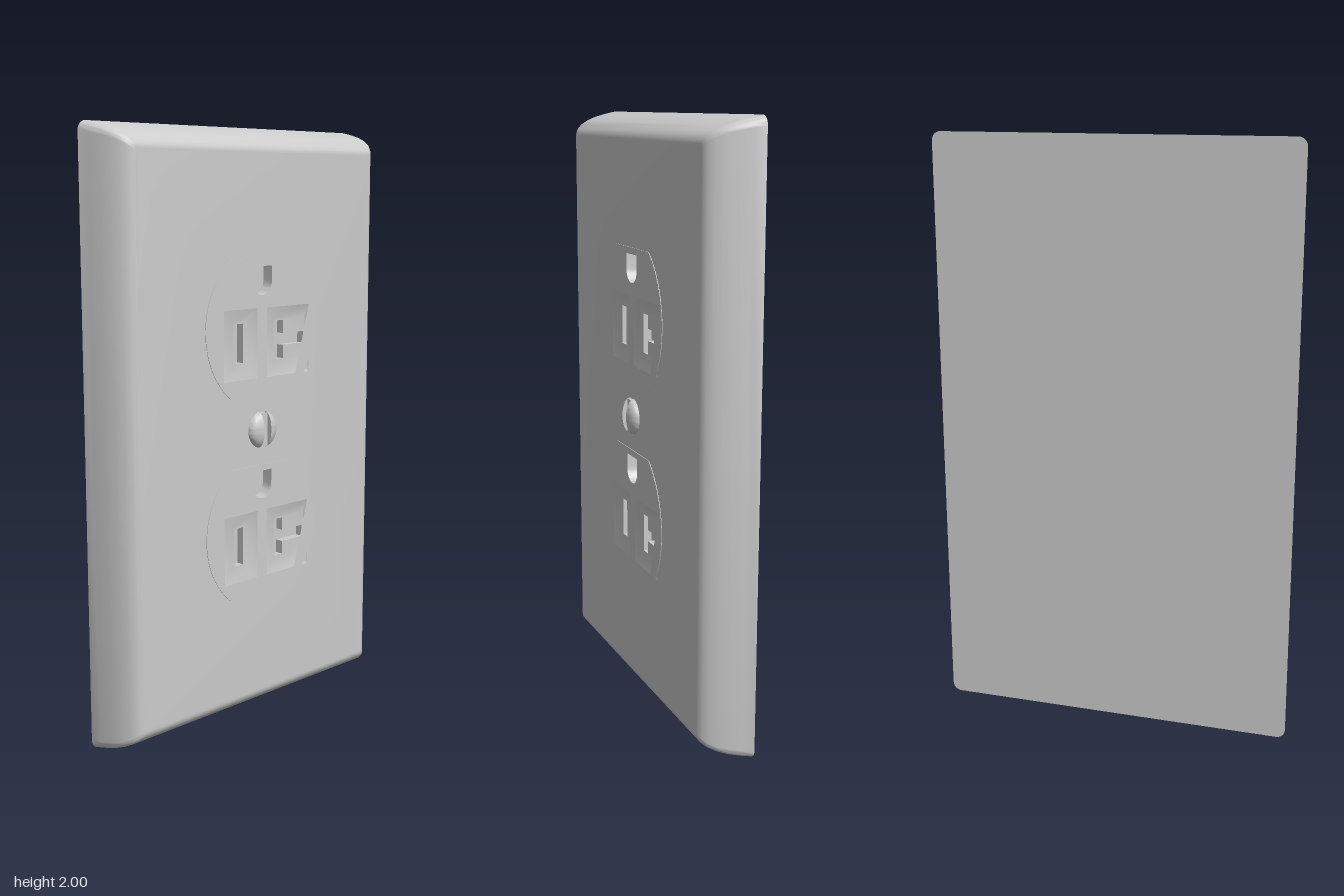
import * as THREE from 'three';
import { mergeGeometries, toCreasedNormals } from 'three/addons/utils/BufferGeometryUtils.js';

const grey = new THREE.MeshStandardMaterial({ color: 0xcccccc });
const FRONT = 0.068, FACE = 0.07;
const v = (x, y) => new THREE.Vector2(x, y);

// Counter-clockwise loops
const rect = (x0, y0, x1, y1) => [v(x0, y0), v(x1, y0), v(x1, y1), v(x0, y1)];
const arc = (cx, cy, r, a0, a1, n) => Array.from({ length: n + 1 }, (_, i) => {
  const a = a0 + (a1 - a0) * i / n;
  return v(cx + r * Math.cos(a), cy + r * Math.sin(a));
});
function roundedRect(w, h, r) {
  return [[1, 1], [-1, 1], [-1, -1], [1, -1]].flatMap(([sx, sy], i) =>
    arc(sx * (w - r), sy * (h - r), r, i * Math.PI / 2, (i + 1) * Math.PI / 2, 6));
}

// Skin through a list of [loop, z]; running forward faces out, running backward faces in
function skin(levels) {
  const pos = [];
  for (let k = 0; k + 1 < levels.length; k++) {
    const [a, za] = levels[k], [b, zb] = levels[k + 1];
    a.forEach((p, i) => {
      const j = (i + 1) % a.length;
      const A = [p.x, p.y, za], B = [a[j].x, a[j].y, za];
      const C = [b[j].x, b[j].y, zb], D = [b[i].x, b[i].y, zb];
      pos.push(...A, ...B, ...C, ...A, ...C, ...D);
    });
  }
  return new THREE.BufferGeometry().setAttribute('position', new THREE.Float32BufferAttribute(pos, 3));
}

// Flat sheet facing +z, with holes
function sheet(loop, z, holes = []) {
  const shape = new THREE.Shape(loop);
  shape.holes = holes.map(h => new THREE.Path(h));
  const g = new THREE.ShapeGeometry(shape).toNonIndexed().translate(0, 0, z);
  g.deleteAttribute('uv');
  g.deleteAttribute('normal');
  return g;
}

const pocket = (loop, top, bottom) => [skin([[loop, top], [loop, bottom]]), sheet(loop, bottom)];

function part(name, geometries) {
  const mesh = new THREE.Mesh(toCreasedNormals(mergeGeometries(geometries), 0.6), grey);
  mesh.name = name;
  return mesh;
}

// Outlet outline: two arcs cut flat at top and bottom
const half = Math.asin(0.225 / 0.285);
const outline = [
  ...arc(-0.03, 0, 0.285, -half, half, 24),
  ...arc(0.03, 0, 0.285, Math.PI - half, Math.PI + half, 24),
];

function createOutlet() {
  const outlet = new THREE.Group();
  outlet.name = 'outlet';
  const ground = [v(-0.045, 0.203), ...arc(0, 0.153, 0.045, Math.PI, 2 * Math.PI, 16), v(0.045, 0.203)];
  const straightSlot = rect(-0.115, -0.112, -0.078, 0.018);
  const teeSlot = [v(0.075, -0.112), v(0.112, -0.112), v(0.112, -0.067), v(0.212, -0.067),
    v(0.212, -0.027), v(0.112, -0.027), v(0.112, 0.018), v(0.075, 0.018)];
  const leftRim = rect(-0.175, -0.167, -0.022, 0.066);
  const rightRim = rect(0.022, -0.167, 0.226, 0.066);
  const low = FACE - 0.012;

  outlet.add(part('outletFace', [
    skin([[outline, FRONT - 0.01], [outline, FACE]]),
    sheet(outline, FACE, [ground, leftRim, rightRim]),
  ]));
  outlet.add(part('groundHole', pocket(ground, FACE, 0.03)));
  // Sloped recesses leading into the blade slots
  [['straightSlot', leftRim, rect(-0.125, -0.12, -0.068, 0.026), straightSlot],
    ['teeSlot', rightRim, rect(0.065, -0.12, 0.218, 0.026), teeSlot]].forEach(([name, rim, floor, slot]) => {
    outlet.add(part(name, [skin([[rim, FACE], [floor, low]]), sheet(floor, low, [slot]), ...pocket(slot, low, 0.03)]));
  });
  return outlet;
}

function createScrew() {
  const screw = new THREE.Group();
  screw.name = 'screw';
  const w = 0.016;
  const dome = [[0.063, 0.06], [0.063, 0.07], [0.06, 0.078], [0.053, 0.086], [0.042, 0.092], [0.03, 0.096], [0.019, 0.098]];
  const levels = dome.map(([r, z]) => {
    const a = Math.acos(w / r);
    return [arc(0, 0, r, -a, a, 24), z];
  });
  // Two dome halves with the driver slot between them
  for (const turn of [0, Math.PI]) {
    const side = part('screwHeadHalf', [skin(levels), sheet(...levels.at(-1))]);
    side.rotation.z = turn;
    screw.add(side);
  }
  const bed = arc(0, 0, 0.058, 0, 2 * Math.PI * 47 / 48, 47);
  screw.add(part('screwSlotBed', [skin([[bed, 0.06], [bed, 0.08]]), sheet(bed, 0.08)]));
  screw.position.y = 1.005;
  return screw;
}

function createPlate() {
  // Rounded edge: [inset, z] from the back to the front
  const profile = [[0, -0.1], [0.008, -0.06], [0.018, -0.02], [0.03, 0.013], [0.044, 0.04],
    [0.058, 0.057], [0.07, 0.065], [0.08, FRONT], [0.086, FRONT]];
  const levels = profile.map(([d, z]) => [roundedRect(0.613 - d, 1 - d, 0.03 - d * 0.25), z]);
  const back = sheet(levels[0][0], 0).rotateY(Math.PI).translate(0, 0, -0.1);
  const holes = [0.347, -0.34].map(y => outline.map(p => v(p.x, p.y + y)));
  const plate = part('wallPlate', [skin(levels), sheet(levels.at(-1)[0], FRONT, holes), back]);
  plate.position.y = 1;
  return plate;
}

export function createModel() {
  const model = new THREE.Group();
  model.name = 'wallOutlet';
  model.add(createPlate(), createScrew());
  for (const y of [1.347, 0.66]) {
    const outlet = createOutlet();
    outlet.position.y = y;
    model.add(outlet);
  }
  return model;
}
